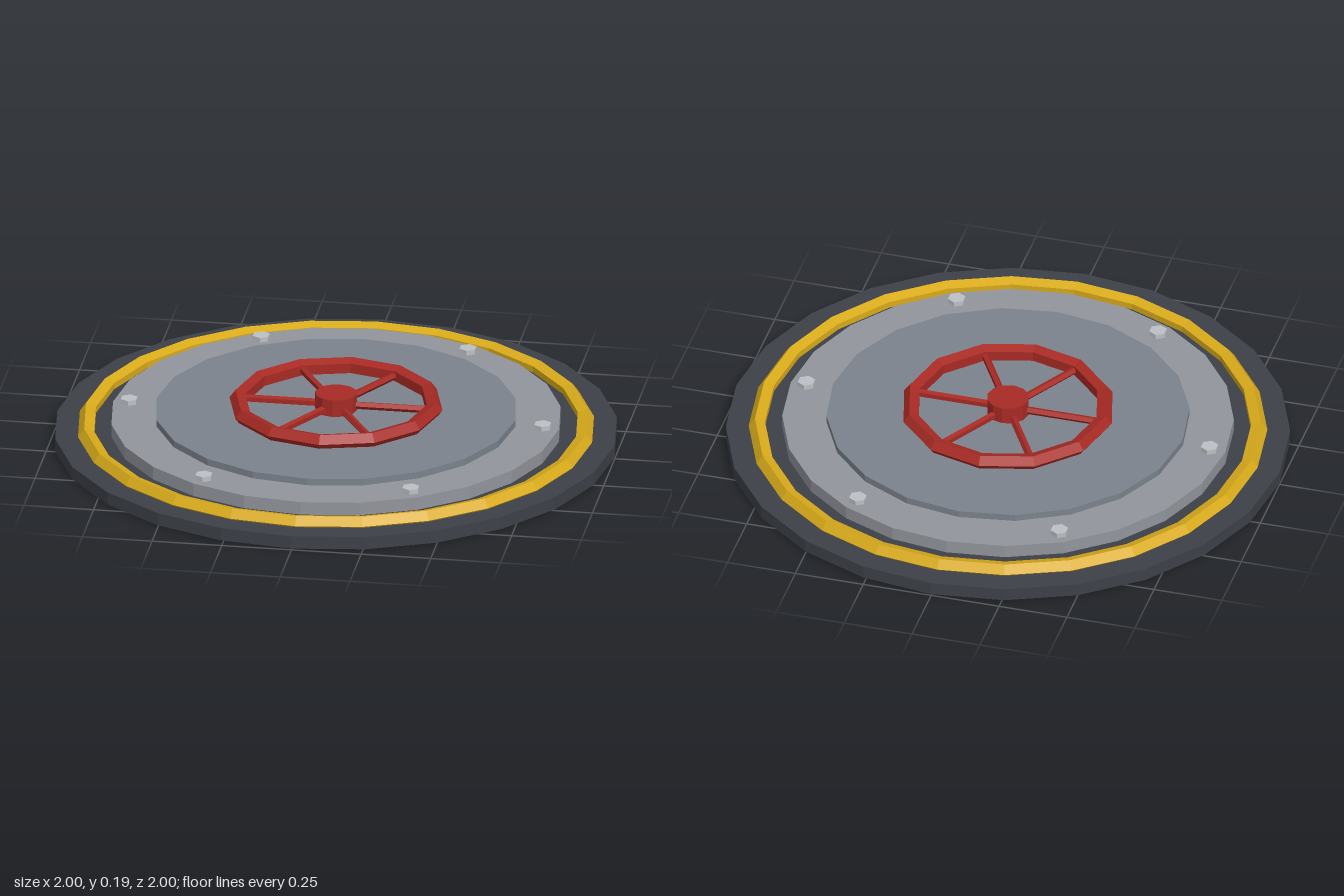
import * as THREE from 'three';

const paint = (color) => new THREE.MeshStandardMaterial({ color, flatShading: true });
const DARK = paint(0x3d4148);
const YELLOW = paint(0xd9ab1a);
const STEEL = paint(0x92959c);
const SLATE = paint(0x7c838c);
const RED = paint(0xa82a24);
const BOLT = paint(0xbcc0c4);

function add(parent, name, geometry, material) {
  const mesh = new THREE.Mesh(geometry, material);
  mesh.name = name;
  parent.add(mesh);
  return mesh;
}

// Upright cylinder between two heights
function disc(radius, bottom, top, sides) {
  return new THREE.CylinderGeometry(radius, radius, top - bottom, sides)
    .translate(0, (bottom + top) / 2, 0);
}

// Torus lying flat, with a five-sided tube
function flatRing(radius, tube, y, sides) {
  return new THREE.TorusGeometry(radius, tube, 5, sides)
    .rotateX(-Math.PI / 2).translate(0, y, 0);
}

export function createModel() {
  const hatch = new THREE.Group();
  hatch.name = 'hatch';

  // Stacked base, warning ring and lid plates
  add(hatch, 'baseFlange', disc(1, 0.005, 0.052, 24), DARK);
  add(hatch, 'warningRing', flatRing(0.887, 0.032, 0.057, 24), YELLOW);
  add(hatch, 'lidPlate', disc(0.8, 0, 0.1, 24), STEEL);
  add(hatch, 'innerPlate', disc(0.644, 0.1, 0.125, 20), SLATE);

  // Six hexagonal bolts round the lid
  for (let i = 0; i < 6; i++) {
    const a = (i * Math.PI) / 3;
    const bolt = add(hatch, 'bolt', disc(0.032, 0.095, 0.118, 6), BOLT);
    bolt.position.set(0.742 * Math.cos(a), 0, 0.742 * Math.sin(a));
  }

  // Handwheel with rim, hub and six spokes
  const wheel = new THREE.Group();
  wheel.name = 'handwheel';
  hatch.add(wheel);
  add(wheel, 'wheelRim', flatRing(0.351, 0.031, 0.145, 12), RED);
  add(wheel, 'wheelHub', disc(0.075, 0.12, 0.188, 12), RED);
  for (let i = 0; i < 6; i++) {
    const spoke = new THREE.CylinderGeometry(0.014, 0.014, 0.34, 5)
      .rotateZ(Math.PI / 2).translate(0.17, 0.145, 0);
    add(wheel, 'spoke', spoke, RED).rotation.y = (i * Math.PI) / 3;
  }

  return hatch;
}
